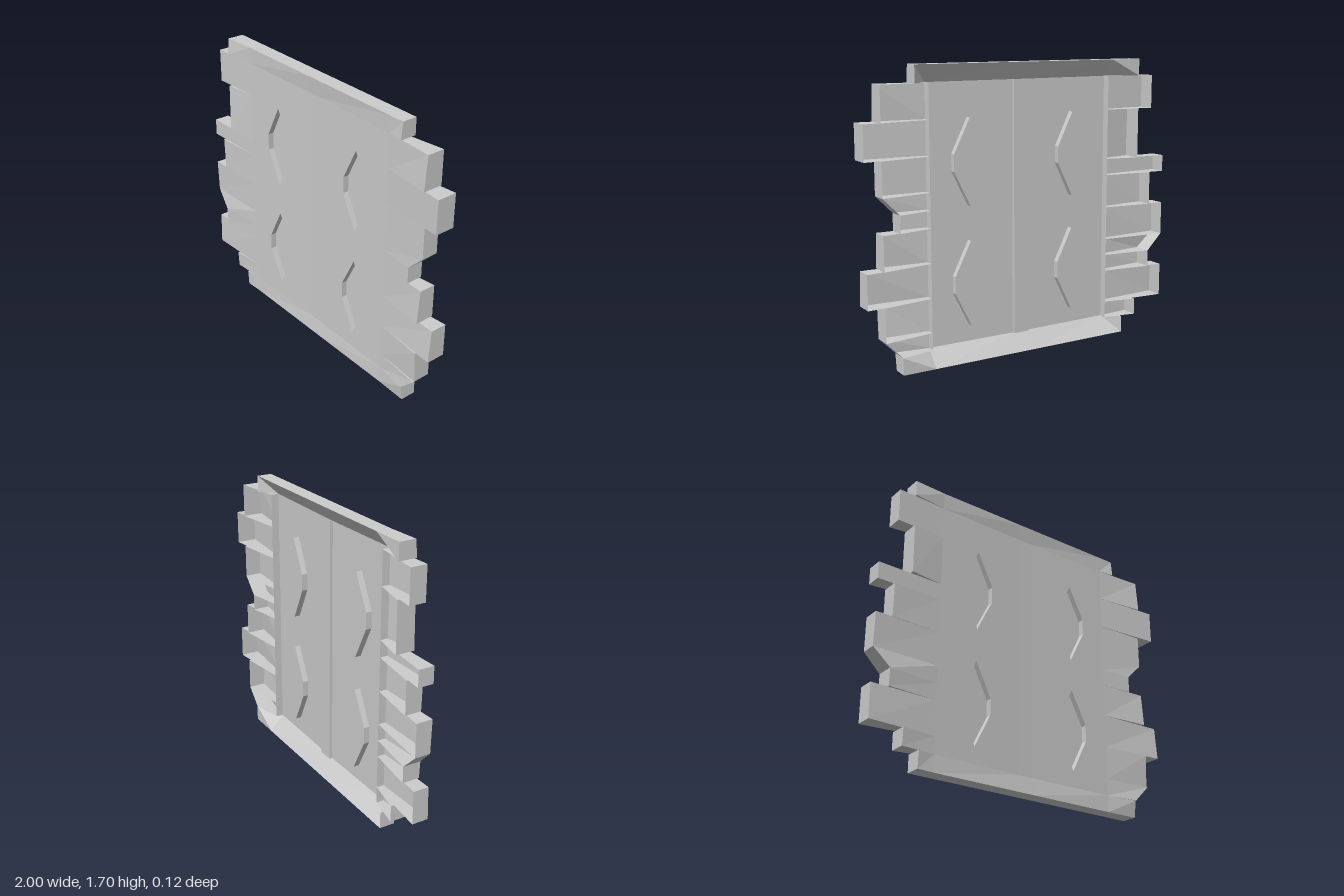
import * as THREE from 'three';

const mat = new THREE.MeshStandardMaterial({ color: 0xcccccc, flatShading: true, side: THREE.DoubleSide });
const BACK = -0.06, SHELF = -0.02, JAMB = 0.6, GAP = 0.05, H = 1.7;
const leafZ = x => 0.018 + Math.max(Math.abs(x) - GAP, 0) * 0.015; // leaves lean in towards the middle

// Mesh from a list of four-cornered faces; mirrored faces are reversed
function quads(name, faces, flip = false) {
  const pos = [];
  for (const f of faces) {
    const [a, b, c, d] = flip ? [...f].reverse() : f;
    pos.push(...a, ...b, ...c, ...a, ...c, ...d);
  }
  const g = new THREE.BufferGeometry();
  g.setAttribute('position', new THREE.Float32BufferAttribute(pos, 3));
  g.computeVertexNormals();
  const m = new THREE.Mesh(g, mat);
  m.name = name;
  return m;
}

// One hollow edge stone, thinning towards the jamb; sill and lintel stones get a bevelled back
function stone(side, [y0, y1, x0, x1, z0, z1]) {
  const P = (x, y, z) => [side * x, y, z];
  const atRim = y => y === 0 || y === H;
  const closed = atRim(y0) || atRim(y1);
  const inner = y => (atRim(y) ? 0.03 : leafZ(JAMB));
  const innerBack = y => (atRim(y) ? BACK : closed ? leafZ(JAMB) : SHELF);
  const a = P(JAMB, y0, inner(y0)), b = P(x0, y0, z0), c = P(x1, y1, z1), d = P(JAMB, y1, inner(y1));
  const ab = P(JAMB, y0, innerBack(y0)), bb = P(x0, y0, BACK);
  const cb = P(x1, y1, BACK), db = P(JAMB, y1, innerBack(y1));
  const faces = [[a, b, c, d], [b, bb, cb, c], [d, c, cb, db], [ab, bb, b, a]];
  if (closed) faces.push([ab, db, cb, bb]);
  return quads('edgeStone', faces, side < 0);
}

// Rows: bottom y, top y, outer x at bottom and top, front z at bottom and top
const leftRows = [
  [0, 0.1, 0.8, 0.8, 0.035, 0.05], [0.1, 0.2, 0.8, 0.9, 0.055, 0.055], [0.2, 0.4, 0.9, 0.9, 0.045, 0.055],
  [0.4, 0.6, 1, 1, 0.055, 0.04], [0.6, 0.8, 0.9, 0.9, 0.055, 0.04], [0.8, 0.9, 0.8, 0.8, 0.04, 0.04],
  [0.9, 1, 0.8, 0.9, 0.04, 0.04], [1, 1.2, 0.9, 0.9, 0.04, 0.04], [1.2, 1.4, 1, 1, 0.06, 0.06],
  [1.4, 1.6, 0.9, 0.9, 0.06, 0.045], [1.6, 1.7, 0.7, 0.7, 0.04, 0.03],
];
const rightRows = [
  [0, 0.1, 0.7, 0.7, 0.035, 0.04], [0.1, 0.2, 0.8, 0.8, 0.04, 0.045], [0.2, 0.4, 1, 1, 0.04, 0.035],
  [0.4, 0.5, 0.9, 0.9, 0.045, 0.05], [0.5, 0.6, 0.9, 1, 0.05, 0.035], [0.6, 0.8, 1, 1, 0.035, 0.04],
  [0.8, 1, 0.9, 0.9, 0.04, 0.045], [1, 1.1, 1, 1, 0.035, 0.035], [1.1, 1.4, 0.8, 0.8, 0.055, 0.05],
  [1.4, 1.6, 0.9, 0.9, 0.04, 0.04], [1.6, 1.7, 0.8, 0.8, 0.05, 0.04],
];

// Corners of the long hexagonal dents
const hexagon = (cx, cy) =>
  [[0, 0.25], [0.1, 0.05], [0.1, -0.05], [0, -0.25], [-0.1, -0.05], [-0.1, 0.05]]
    .map(([x, y]) => new THREE.Vector2(cx + x, cy + y));

// Thin sheet from a flat shape, with its depth given by a rule
function sheet(name, shape, zAt) {
  const g = new THREE.ShapeGeometry(shape);
  const p = g.attributes.position;
  for (let i = 0; i < p.count; i++) p.setZ(i, zAt(p.getX(i)));
  g.computeVertexNormals();
  const m = new THREE.Mesh(g, mat);
  m.name = name;
  return m;
}

// One leaf: a thin sheet with two dents that stand out behind
function leaf(side) {
  const group = new THREE.Group();
  group.name = side > 0 ? 'leftLeaf' : 'rightLeaf';
  const s = new THREE.Shape();
  const x0 = side > 0 ? GAP : -JAMB, x1 = side > 0 ? JAMB : -GAP;
  s.moveTo(x0, 0.1).lineTo(x1, 0.1).lineTo(x1, 1.6).lineTo(x0, 1.6).closePath();
  for (const cy of [0.45, 1.15]) {
    const pts = hexagon(side * 0.345, cy);
    const floorZ = x => leafZ(x) - 0.035;
    s.holes.push(new THREE.Path(pts));
    group.add(sheet('dentFloor', new THREE.Shape(pts), floorZ));
    group.add(quads('dentWall', pts.map((p, i) => {
      const q = pts[(i + 1) % pts.length];
      return [[p.x, p.y, leafZ(p.x)], [q.x, q.y, leafZ(q.x)], [q.x, q.y, floorZ(q.x)], [p.x, p.y, floorZ(p.x)]];
    })));
  }
  group.add(sheet('leafPanel', s, leafZ));
  return group;
}

export function createModel() {
  const model = new THREE.Group();
  model.name = 'gate';

  // Ragged side edges
  leftRows.forEach(r => model.add(stone(1, r)));
  rightRows.forEach(r => model.add(stone(-1, r)));

  // Two leaves, and the jamb walls behind their outer edges
  for (const side of [1, -1]) {
    const x = side * JAMB, z = leafZ(JAMB);
    model.add(leaf(side));
    model.add(quads('jambWall', [
      [[x, 0.1, z], [x, 0.1, SHELF], [x, 1.6, SHELF], [x, 1.6, z]],
    ], side < 0));
  }

  // Middle bar between the leaves: flush in front, raised behind
  const zf = leafZ(0), zb = 0;
  model.add(quads('middleBar', [
    [[-GAP, 0.1, zf], [GAP, 0.1, zf], [GAP, 1.6, zf], [-GAP, 1.6, zf]],
    [[GAP, 0.1, zb], [-GAP, 0.1, zb], [-GAP, 1.6, zb], [GAP, 1.6, zb]],
    [[GAP, 0.1, zf], [GAP, 0.1, zb], [GAP, 1.6, zb], [GAP, 1.6, zf]],
    [[-GAP, 0.1, zb], [-GAP, 0.1, zf], [-GAP, 1.6, zf], [-GAP, 1.6, zb]],
  ]));

  // Lintel and sill: sloping front, outer wall and bevelled back
  const xs = [-JAMB, -GAP, GAP, JAMB];
  for (const [name, yo, yi, flip] of [['lintel', H, 1.6, false], ['sill', 0, 0.1, true]]) {
    const faces = [];
    for (let i = 0; i < 3; i++) {
      const a = xs[i], b = xs[i + 1];
      faces.push([[a, yi, leafZ(a)], [b, yi, leafZ(b)], [b, yo, 0.03], [a, yo, 0.03]]);
      faces.push([[a, yo, 0.03], [b, yo, 0.03], [b, yo, BACK], [a, yo, BACK]]);
      faces.push([[a, yo, BACK], [b, yo, BACK], [b, yi, leafZ(b)], [a, yi, leafZ(a)]]);
    }
    model.add(quads(name, faces, flip));
  }
  return model;
}
